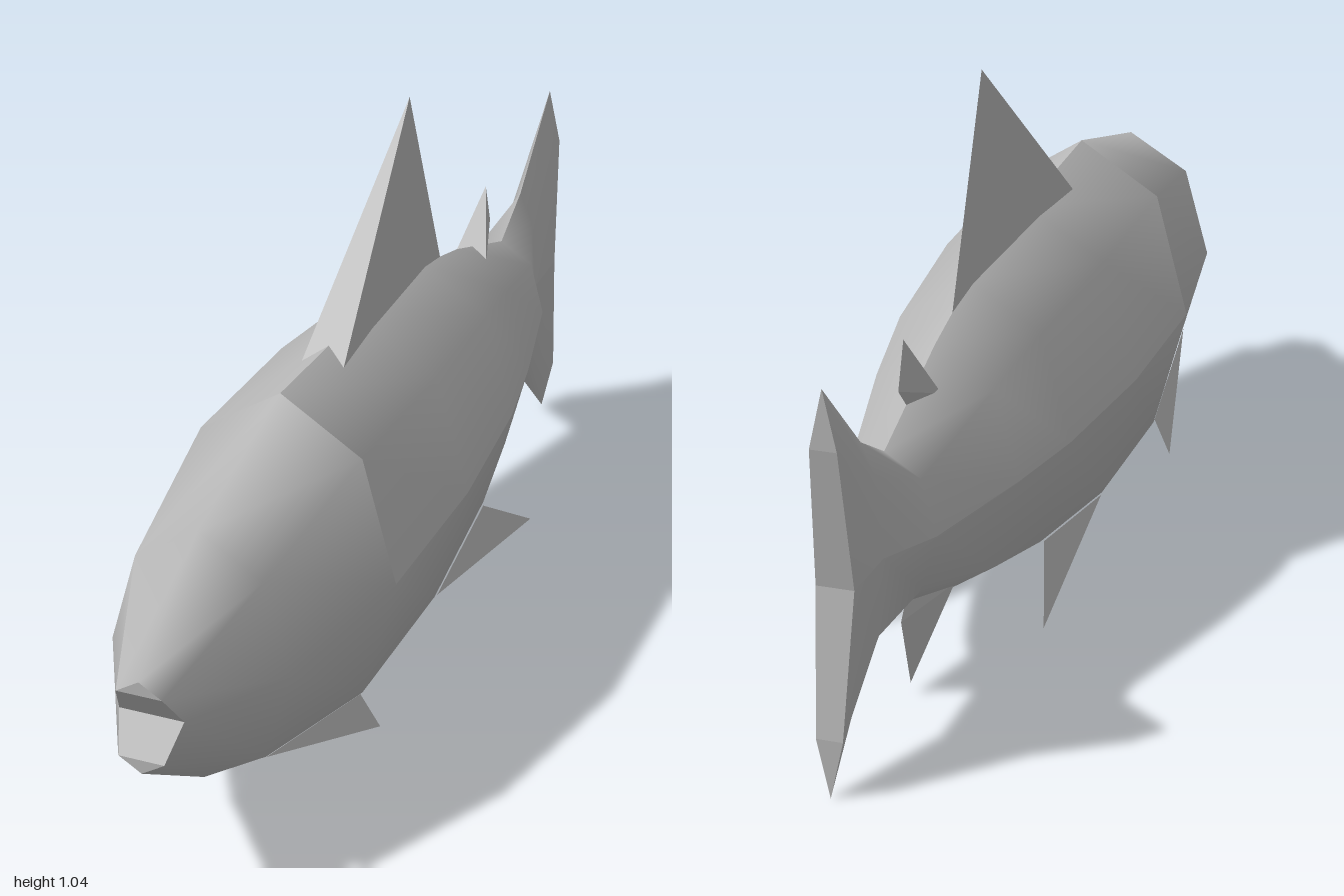
import * as THREE from 'three';
import { ConvexGeometry } from 'three/addons/geometries/ConvexGeometry.js';

// Body stations, nose to tail: z, top, bottom, half width, z shift of the side points
const MID = 0.375;
const STATIONS = [
  [1, 0.465, 0.285, 0.06, -0.045],
  [0.76, 0.622, 0.128, 0.168, 0],
  [0.41, 0.715, 0.033, 0.22, 0],
  [0.05, 0.7, 0.034, 0.22, 0],
  [-0.27, 0.665, 0.085, 0.19, 0],
  [-0.46, 0.615, 0.13, 0.155, 0],
  [-0.72, 0.52, 0.23, 0.093, 0],
  [-0.83, 0.582, 0.168, 0.037, 0],
  [-1, 0.745, 0.004, 0.034, 0.04],
];
const COLS = 9; // octagon, with the keel point doubled so the keel stays sharp

function bodyPoints() {
  const pts = [];
  for (const [z, top, bottom, w, dz] of STATIONS) {
    for (let j = 0; j < COLS; j++) {
      const a = (j * Math.PI) / 4;
      const c = -Math.cos(a);
      pts.push(Math.sin(a) * w, MID + c * (c > 0 ? top - MID : MID - bottom), z + (j % 4 === 2 ? dz : 0));
    }
  }
  return pts;
}

// Smooth skin made of the panels the test picks
function skin(pick) {
  const index = [];
  for (let i = 0; i < STATIONS.length - 1; i++) {
    for (let j = 0; j < COLS - 1; j++) {
      if (!pick(i, j)) continue;
      const a = i * COLS + j, c = a + COLS;
      index.push(a, c, a + 1, a + 1, c, c + 1);
    }
  }
  const g = new THREE.BufferGeometry();
  g.setAttribute('position', new THREE.Float32BufferAttribute(bodyPoints(), 3));
  g.setIndex(index);
  g.computeVertexNormals();
  return g;
}

// Notched end face across one station
function endCap(station, flip) {
  const tris = [0, 1, 7, 1, 2, 6, 1, 6, 7, 2, 3, 5, 2, 5, 6, 3, 4, 5];
  if (flip) tris.reverse();
  const g = new THREE.BufferGeometry();
  g.setAttribute('position', new THREE.Float32BufferAttribute(bodyPoints(), 3));
  g.setIndex(tris.map((k) => station * COLS + k));
  const flat = g.toNonIndexed();
  flat.computeVertexNormals();
  return flat;
}

const hull = (points) => new ConvexGeometry(points.map((p) => new THREE.Vector3(...p)));

function triangle(points) {
  const g = new THREE.BufferGeometry();
  g.setAttribute('position', new THREE.Float32BufferAttribute(points.flat(), 3));
  g.computeVertexNormals();
  return g;
}

export function createModel() {
  const group = new THREE.Group();
  const grey = new THREE.MeshStandardMaterial({ color: 0xb8b8b8, side: THREE.DoubleSide });
  grey.name = 'grey';
  const add = (name, geometry) => {
    const mesh = new THREE.Mesh(geometry, grey);
    mesh.name = name;
    group.add(mesh);
  };

  // Head and belly share one smooth skin; the two back panels are creased off
  const isBack = (i, j) => i >= 2 && j >= 2 && j <= 5;
  add('headAndBelly', skin((i, j) => !isBack(i, j)));
  add('leftBack', skin((i, j) => isBack(i, j) && j < 4));
  add('rightBack', skin((i, j) => isBack(i, j) && j >= 4));
  add('mouth', endCap(0, false));
  add('tailEdge', endCap(STATIONS.length - 1, true));

  // Fins on the centre line, broad in front and sharp behind
  add('dorsalFin', hull([[0.05, 0.6, 0.315], [-0.05, 0.6, 0.315], [0, 1.04, -0.2], [0, 0.6, -0.383]]));
  add('smallBackFin', hull([
    [0.036, 0.555, -0.53], [-0.036, 0.555, -0.53], [0, 0.685, -0.62], [0, 0.6, -0.648], [0, 0.53, -0.58],
  ]));
  add('analFin', hull([
    [0.04, 0.168, -0.48], [-0.04, 0.168, -0.48], [0, 0.025, -0.605], [0, 0.165, -0.65], [0, 0.225, -0.6],
  ]));

  // Thin paired fins
  for (const [side, s] of [['left', 1], ['right', -1]]) {
    add(side + 'PectoralFin', triangle([[s * 0.12, 0.2, 0.76], [s * 0.155, 0.135, 0.42], [s * 0.19, 0.068, 0.41]]));
    add(side + 'PelvicFin', triangle([[s * 0.157, 0.133, 0.04], [s * 0.138, 0.167, -0.26], [s * 0.185, 0.068, -0.41]]));
  }
  return group;
}
